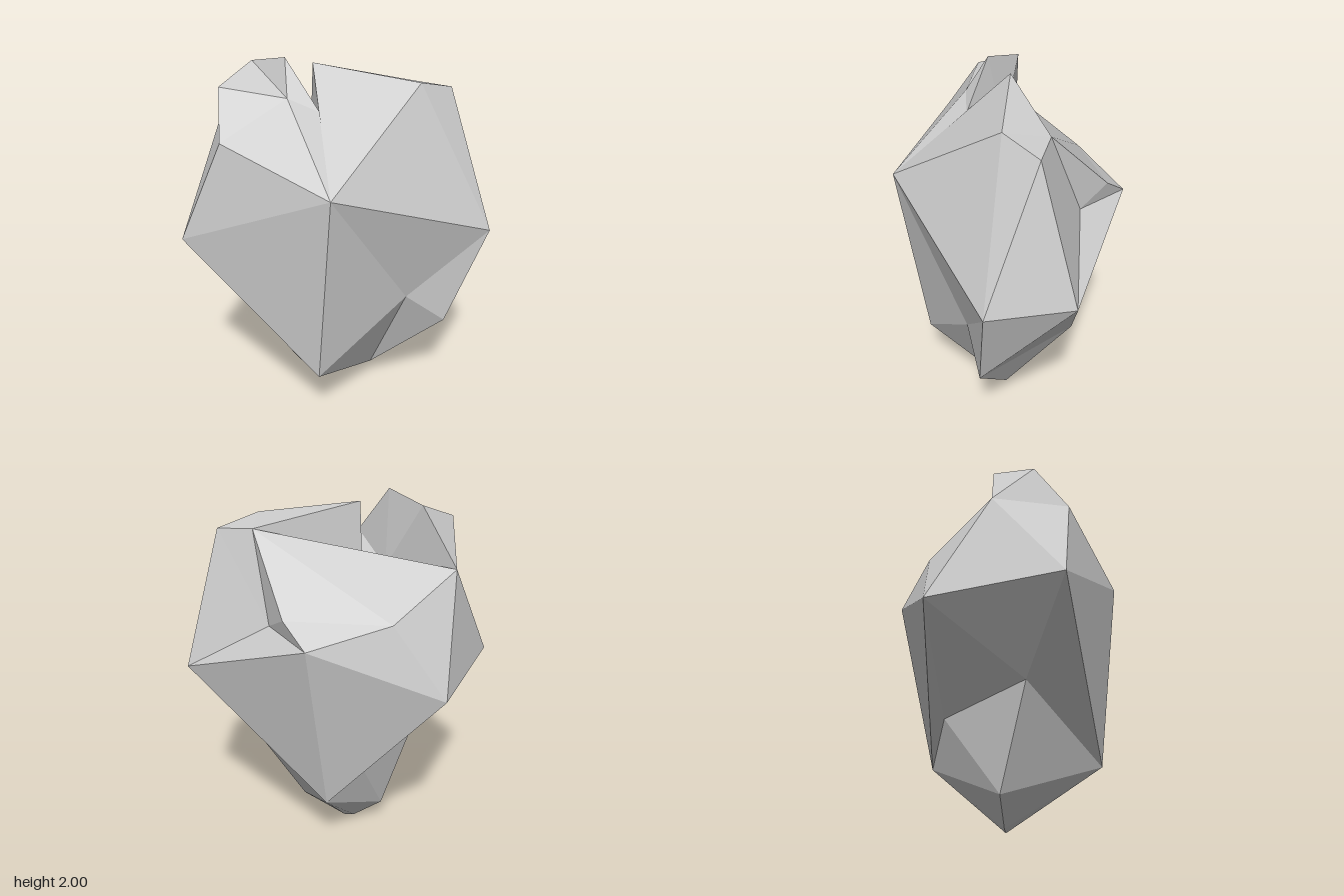
import * as THREE from 'three';

// Key corners of the boulder
const corners = {
  nose: [0.02, 1.43, 0.63], left: [0.82, 1.07, 0.06], right: [-0.82, 1.07, 0.38],
  chin: [-0.07, 0.33, 0.50], cheek: [0.38, 0.70, 0.20], hip: [0.60, 0.51, 0.11],
  jaw: [-0.48, 0.67, 0.15], heel: [-0.32, 0.14, 0], foot: [0.17, 0.11, 0],
  baseR: [-0.15, 0.01, 0], baseL: [-0.09, 0, 0],
  backLeft: [0.70, 1.07, -0.39], back: [-0.07, 1.34, -0.63], backRight: [-0.72, 1.03, -0.33],
  backLow: [-0.10, 0.34, -0.39], dent: [-0.27, 0.56, -0.30],
  slopeR: [-0.44, 1.43, -0.38], slopeL: [0.08, 1.45, -0.53], ledge: [0.21, 1.36, -0.39],
  crown: [0.41, 1.86, 0], crownL: [0.57, 1.80, -0.19], rim: [0.35, 1.82, -0.23],
  lip: [-0.16, 1.95, 0], notch: [-0.09, 1.75, 0.23], pit: [-0.18, 1.50, 0],
  shoulder: [-0.68, 1.63, 0], brow: [-0.57, 1.62, 0.40], crest: [-0.61, 1.86, 0.22],
  spur: [-0.49, 1.95, -0.02], peak: [-0.28, 2.0, 0.13], fold: [-0.25, 1.82, 0.25],
  cleft: [-0.29, 1.60, 0.05],
};

// Facets as fans: a hub, then the corners round it, anticlockwise from outside
const fans = [
  // front
  'nose left crown lip notch fold brow right chin cheek left',
  'chin right jaw heel baseR baseL foot cheek',
  // left side and back
  'hip cheek foot backLow backLeft left cheek',
  'backLeft backLow back ledge crownL left',
  'crown left crownL rim lip',
  'crownL ledge rim',
  'ledge back slopeL rim',
  'slopeL back slopeR',
  'rim slopeL slopeR shoulder pit lip',
  // right side and underside
  'backRight shoulder slopeR back backLow dent jaw right shoulder',
  'dent backLow heel jaw',
  'backLow foot baseL baseR heel',
  // broken top with its hollow
  'shoulder right brow crest spur cleft pit',
  'fold notch peak spur crest brow',
  'cleft spur peak notch pit',
  'pit notch lip',
];

export function createModel() {
  const positions = [];
  for (const fan of fans) {
    const [hub, ...ring] = fan.split(' ').map((name) => corners[name]);
    for (let i = 0; i < ring.length - 1; i++) positions.push(...hub, ...ring[i], ...ring[i + 1]);
  }
  const geometry = new THREE.BufferGeometry();
  geometry.setAttribute('position', new THREE.Float32BufferAttribute(positions, 3));
  geometry.computeVertexNormals();

  const boulder = new THREE.Mesh(
    geometry,
    new THREE.MeshStandardMaterial({ color: 0xcccccc, flatShading: true }),
  );
  boulder.name = 'boulder';

  const group = new THREE.Group();
  group.name = 'rock';
  group.add(boulder);
  return group;
}
